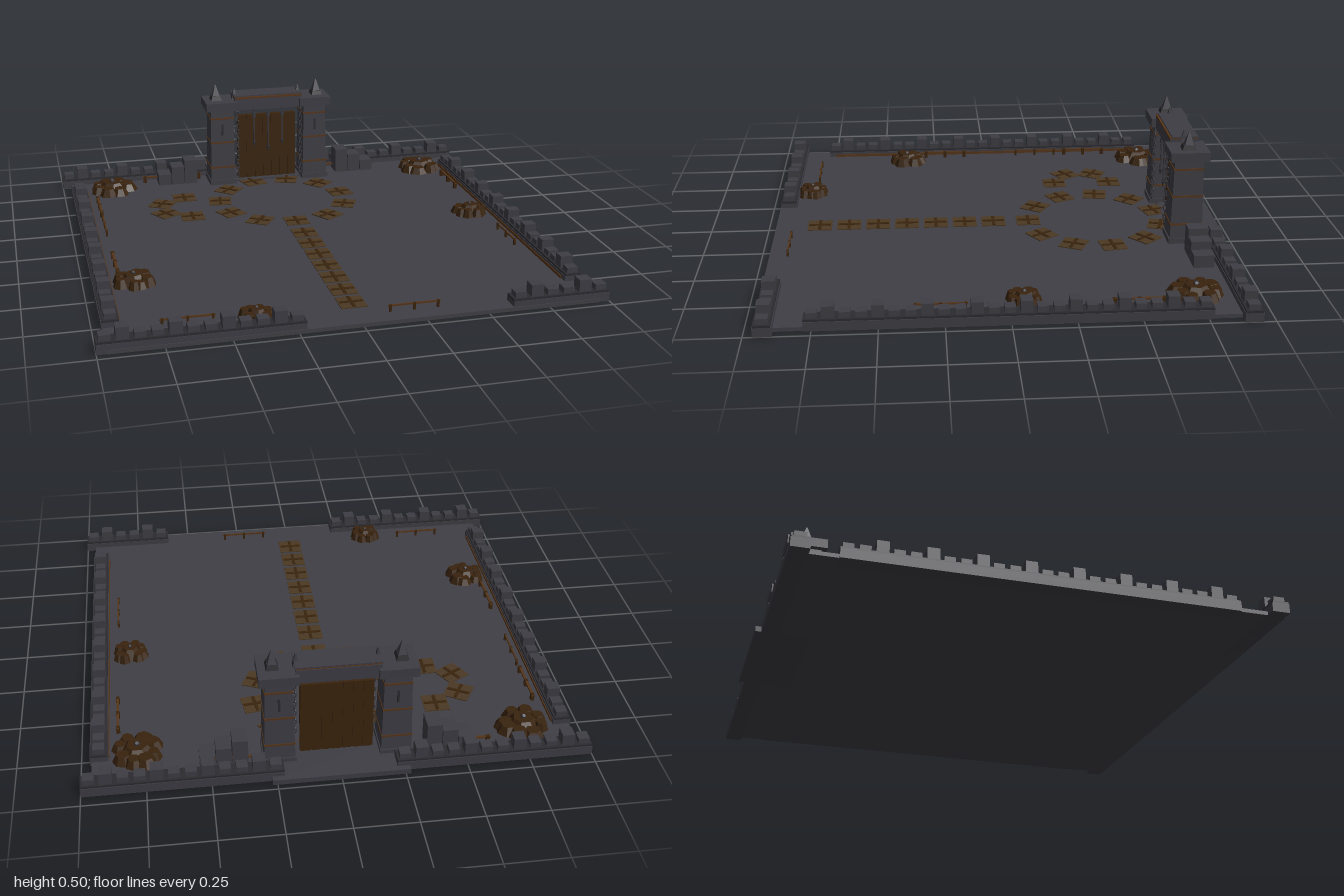
import * as THREE from 'three';

const mat = (name, color, side = THREE.FrontSide) => {
  const m = new THREE.MeshStandardMaterial({ color, flatShading: true, side });
  m.name = name;
  return m;
};

export function createModel() {
  const M = {
    ground: mat('courtyard stone', 0x403f46),
    stone: mat('wall stone', 0x3e3d44),
    dark: mat('dark stone', 0x2b2b30),
    wood: mat('dark wood', 0x3a240d),
    rust: mat('rusty trim', 0x56351a),
    tile: mat('path tile', 0x4a3823),
    rock: mat('brown rock', 0x38230e),
    iron: mat('iron', 0x35353c),
  };
  const root = new THREE.Group();
  root.name = 'gatedCourtyard';
  const group = (name, x = 0, y = 0, z = 0, parent = root) => {
    const g = new THREE.Group();
    g.name = name;
    g.position.set(x, y, z);
    parent.add(g);
    return g;
  };
  const add = (name, geo, m, x, y, z, parent = root) => {
    const mesh = new THREE.Mesh(geo, m);
    mesh.name = name;
    mesh.position.set(x, y, z);
    parent.add(mesh);
    return mesh;
  };
  // box given by its size, centre x / z and bottom height
  const box = (name, m, w, h, d, x, y, z, parent) =>
    add(name, new THREE.BoxGeometry(w, h, d), m, x, y + h / 2, z, parent);
  // four-sided tapered block, w x d at the foot, narrowing by factor k
  const taper = (name, m, w, h, d, k, x, y, z, parent) => {
    const g = new THREE.CylinderGeometry(k * Math.SQRT1_2, Math.SQRT1_2, h, 4);
    g.rotateY(Math.PI / 4).scale(w, 1, d);
    return add(name, g, m, x, y + h / 2, z, parent);
  };
  let seed = 7;
  const rnd = () => (seed = (seed * 16807) % 2147483647) / 2147483647;

  // Ground slab and gate step
  box('ground', M.ground, 1.92, 0.016, 1.915, 0, 0, 0.01);
  box('gateStep', M.stone, 0.54, 0.022, 0.22, 0, 0, -0.865);

  // Battlemented walls: centre, length, number of merlons, turn
  const wall = (x, z, len, n, turned) => {
    const g = group('wall', x, 0, z);
    if (turned) g.rotation.y = Math.PI / 2;
    box('wallBase', M.stone, len, 0.038, 0.072, 0, 0, 0, g);
    box('wallLedge', M.dark, len, 0.008, 0.066, 0, 0.038, 0, g);
    const step = len / n;
    for (let i = 0; i < n; i++) {
      const tall = i % 3 === 1;
      box('merlon', M.stone, step * (tall ? 0.76 : 0.68), tall ? 0.05 : 0.024, tall ? 0.052 : 0.046,
        -len / 2 + (i + 0.5) * step, 0.045, 0, g);
    }
  };
  for (const s of [-1, 1]) {
    wall(s * 0.61, -0.915, 0.78, 12);
    wall(s * 0.93, 0.005, 1.55, 25, true);
    box('wallFoot', M.rust, 0.006, 0.012, 1.5, s * 0.893, 0.016, 0);
  }
  wall(-0.61, 0.928, 0.78, 12);
  wall(0.8, 0.928, 0.4, 6);

  // Gate towers with caps, spikes, bands, slits, steps and chains
  for (const s of [-1, 1]) {
    const t = group('gateTower', s * 0.23, 0, -0.795);
    box('towerPlinth', M.stone, 0.13, 0.03, 0.15, 0, 0.01, 0, t);
    taper('towerBody', M.stone, 0.123, 0.375, 0.14, 0.87, 0, 0.015, 0, t);
    box('towerCap', M.stone, 0.155, 0.04, 0.165, 0, 0.39, 0, t);
    taper('spikeBase', M.dark, 0.05, 0.02, 0.06, 0.8, s * 0.02, 0.43, 0, t);
    taper('spike', M.stone, 0.036, 0.055, 0.04, 0.15, s * 0.02, 0.448, 0, t);
    taper('smallSpike', M.iron, 0.026, 0.05, 0.034, 0.2, -s * 0.072, 0.43, 0, t);
    for (const y of [0.1, 0.225, 0.345]) {
      const k = 1 - 0.13 * (y / 0.39);
      box('towerBand', M.rust, 0.128 * k, 0.008, 0.146 * k, 0, y, 0, t);
    }
    for (const f of [-1, 1]) box('arrowSlit', M.dark, 0.009, 0.055, 0.006, 0, 0.265, f * 0.0655, t);
    [0.12, 0.09, 0.055].forEach((h, i) =>
      box('buttressStep', M.stone, 0.061, h, 0.085, s * (0.383 + i * 0.064), 0.014, -0.82));
    const chain = group('chain', s * 0.157, 0, -0.728);
    for (let i = 0; i < 15; i++) {
      const link = add('chainLink', new THREE.TorusGeometry(0.008, 0.0024, 5, 8), M.iron, 0, 0.06 + i * 0.022, 0, chain);
      link.scale.y = 1.6;
      link.rotation.y = (i % 2) * Math.PI / 2;
    }
  }

  // Lintel and wooden door
  box('lintel', M.stone, 0.33, 0.06, 0.125, 0, 0.385, -0.795);
  box('lintelTrim', M.rust, 0.33, 0.009, 0.122, 0, 0.44, -0.793);
  box('lintelTop', M.stone, 0.335, 0.006, 0.112, 0, 0.449, -0.797);
  box('doorPanel', M.wood, 0.29, 0.325, 0.018, 0, 0.018, -0.8);
  for (let i = 0; i < 7; i++)
    box('doorPlank', M.wood, 0.036, 0.325, 0.026, -0.123 + i * 0.041, 0.018, -0.8);
  for (const x of [-0.07, 0, 0.07]) {
    const len = x ? 0.17 : 0.2;
    box('hangingBar', M.iron, 0.006, len, 0.006, x, 0.386 - len, -0.745);
    const hook = add('hangingHook', new THREE.ConeGeometry(0.009, 0.03, 5), M.iron, x, 0.376 - len, -0.745);
    hook.rotation.x = Math.PI;
    box('hangingCollar', M.iron, 0.016, 0.02, 0.012, x, 0.345, -0.745);
  }

  // Path tiles with a dark cross on each
  const tile = (x, z, turn = 0) => {
    const g = group('pathTile', x, 0.016, z);
    g.rotation.y = turn;
    box('tilePlate', M.tile, 0.105, 0.004, 0.105, 0, 0, 0, g);
    box('tileCross', M.wood, 0.095, 0.004, 0.013, 0, 0.003, 0, g);
    box('tileCross', M.wood, 0.013, 0.0045, 0.095, 0, 0.003, 0, g);
  };
  for (let i = 0; i < 7; i++) tile(0, 0.01 + i * 0.1275);
  for (let i = 0; i < 11; i++) {
    const a = i * Math.PI * 2 / 11;
    tile(Math.sin(a) * 0.295, -0.44 + Math.cos(a) * 0.295, a);
  }
  for (const a of [0, -Math.PI / 3, -Math.PI * 2 / 3, Math.PI])
    tile(-0.45 + Math.sin(a) * 0.13, -0.44 + Math.cos(a) * 0.13, a);

  // Heaps of boulders: x, z, radius
  for (const [x, z, r] of [[-0.77, -0.76, 0.105], [0.78, -0.735, 0.105], [0.8, -0.06, 0.075],
    [-0.8, 0.39, 0.085], [-0.385, 0.83, 0.068]]) {
    const g = group('rockHeap', x, 0.016, z);
    for (let i = 0; i < 8; i++) {
      const a = i * Math.PI / 4 + rnd() * 0.5, s = r * (0.32 + rnd() * 0.16), d = r * 0.68;
      const b = add('boulder', new THREE.CylinderGeometry(s * 0.6, s, 0.028 + rnd() * 0.014, 7), M.rock,
        Math.cos(a) * d, 0.017, Math.sin(a) * d, g);
      b.rotation.y = rnd() * 3;
    }
    add('heapCore', new THREE.CylinderGeometry(r * 0.4, r * 0.75, 0.045, 7), M.rock, 0, 0.0225, 0, g);
    add('heapStone', new THREE.DodecahedronGeometry(r * 0.12), M.iron, 0, 0.046, 0, g);
  }

  // Low rails with posts: centre, length, turned along z, thin
  for (const [x, z, len, turned, thin] of [
    [-0.855, -0.5, 0.21, 1, 0], [-0.855, -0.255, 0.21, 1, 1], [-0.855, 0.2, 0.21, 1, 0],
    [0.855, -0.5, 0.21, 1, 0], [0.85, 0.265, 0.21, 1, 1], [-0.645, 0.81, 0.21, 0, 1],
    [0.22, 0.89, 0.21, 0, 1], [-0.47, -0.842, 0.29, 0, 0], [0.4, -0.842, 0.2, 0, 0]]) {
    const g = group('lowRail', x, 0.016, z);
    if (turned) g.rotation.y = Math.PI / 2;
    const w = thin ? 0.006 : 0.01;
    box('rail', M.rust, len, 0.007, w, 0, 0.022, 0, g);
    for (const p of [-0.46, 0, 0.46]) box('railPost', M.wood, w * 1.5, 0.03, w * 1.5, p * len, 0, 0, g);
  }
  return root;
}
